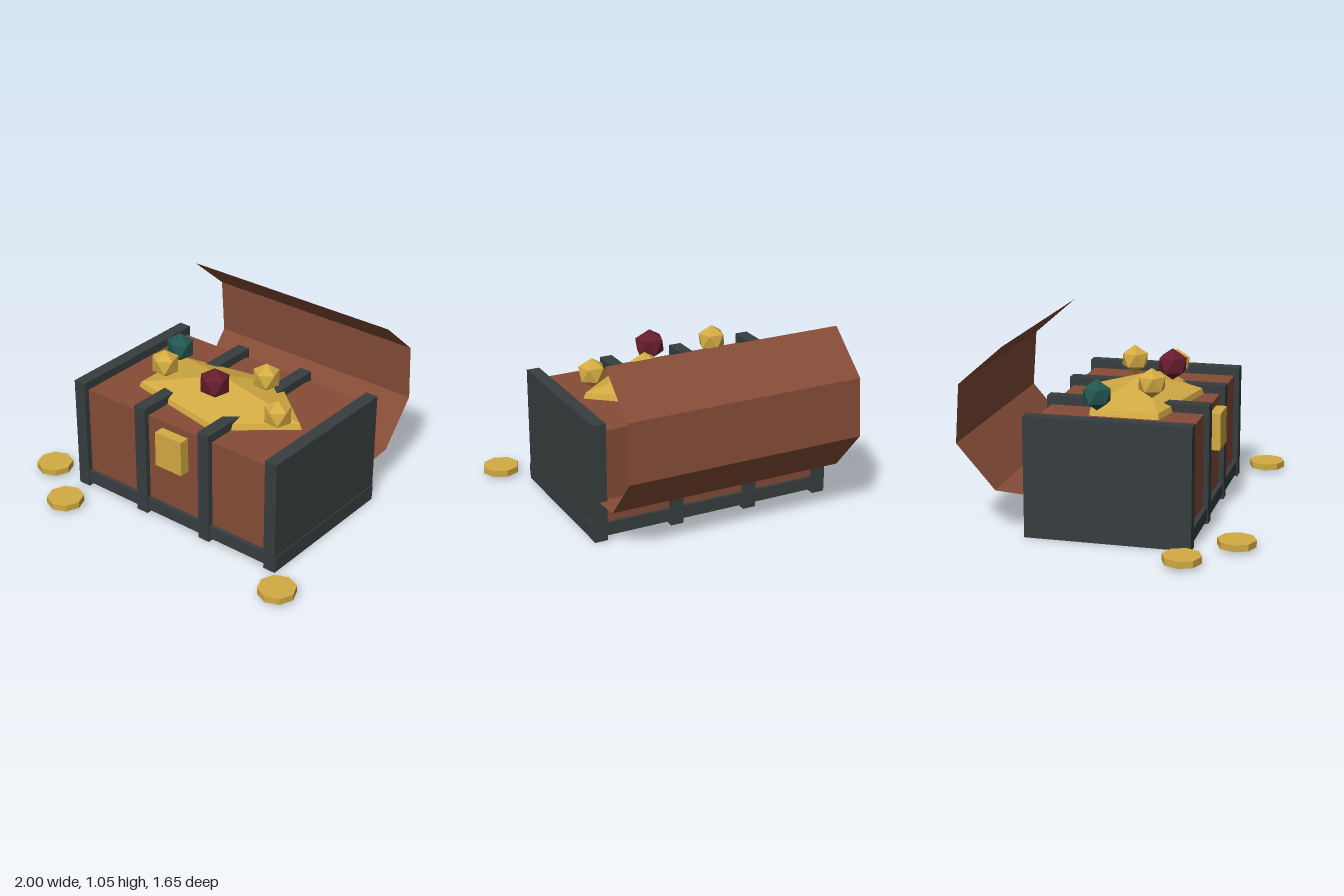
import * as THREE from 'three';

const material = (name, color, extra = {}) => {
  const m = new THREE.MeshStandardMaterial({ color, ...extra });
  m.name = name;
  return m;
};

export function createModel() {
  const chest = new THREE.Group();
  chest.name = 'treasureChest';

  const wood = material('wood', 0x864c37, { side: THREE.DoubleSide, flatShading: true });
  const iron = material('iron', 0x373e3f, { flatShading: true });
  const gold = material('gold', 0xd3ab43, { flatShading: true });
  const ruby = material('ruby', 0x661d2d, { flatShading: true });
  const emerald = material('emerald', 0x235650, { flatShading: true });

  const add = (name, geometry, mat, x = 0, y = 0, z = 0) => {
    const mesh = new THREE.Mesh(geometry, mat);
    mesh.name = name;
    mesh.position.set(x, y, z);
    chest.add(mesh);
    return mesh;
  };
  // Box given by its minimum and maximum corners
  const addBox = (name, mat, [x0, y0, z0], [x1, y1, z1]) =>
    add(name, new THREE.BoxGeometry(x1 - x0, y1 - y0, z1 - z0), mat,
      (x0 + x1) / 2, (y0 + y1) / 2, (z0 + z1) / 2);

  // Wooden body, iron base rim and lock plate
  addBox('body', wood, [-0.655, 0.015, -0.42], [0.73, 0.635, 0.453]);
  addBox('baseRim', iron, [-0.69, 0.026, -0.44], [0.765, 0.1, 0.48]);
  addBox('lock', gold, [-0.055, 0.38, 0.44], [0.13, 0.593, 0.515]);

  // Four upright iron bands
  for (const x of [-0.648, -0.193, 0.262, 0.721]) {
    addBox('band', iron, [x - 0.038, 0, -0.445], [x + 0.038, 0.685, 0.485]);
  }

  // Open lid: a thin half-octagon shell swung back around the rear top edge
  const lidLength = 1.388;
  const lid = new THREE.CylinderGeometry(0.437, 0.437, lidLength, 4, 1, true, 0, Math.PI);
  lid.rotateZ(Math.PI / 2); // axis along x, shell in the upper half
  lid.rotateX(THREE.MathUtils.degToRad(-108.6));
  add('lid', lid, wood, 0.0365, 0.637, -0.42);

  // Five-sided mound of gold
  const profile = [[1, 0], [0.97, 0.035], [0, 0.147]].map(([r, y]) => new THREE.Vector2(r, y));
  const mound = add('goldMound', new THREE.LatheGeometry(profile, 5, Math.PI / 2), gold, 0.04, 0.633, 0.045);
  mound.scale.set(0.56, 1, 0.335);

  // Nuggets and gems, each with a corner pointing up
  const stones = [
    ['goldNugget', gold, 0.085, -0.273, 0.805, 0.17],
    ['goldNugget', gold, 0.085, 0.27, 0.805, -0.06],
    ['goldNugget', gold, 0.085, 0.503, 0.742, 0.14],
    ['rubyGem', ruby, 0.092, 0.113, 0.825, 0.2],
    ['emeraldGem', emerald, 0.088, -0.4, 0.752, -0.108],
  ];
  for (const [name, mat, r, x, y, z] of stones) {
    const stone = new THREE.IcosahedronGeometry(r, 0);
    stone.rotateX(-Math.atan((1 + Math.sqrt(5)) / 2));
    add(name, stone, mat, x, y, z);
  }

  // Coins scattered in front
  for (const [x, z] of [[-0.893, 0.48], [-0.583, 0.713], [0.89, 0.635]]) {
    add('coin', new THREE.CylinderGeometry(0.107, 0.107, 0.038, 8), gold, x, 0.038, z);
  }

  return chest;
}
